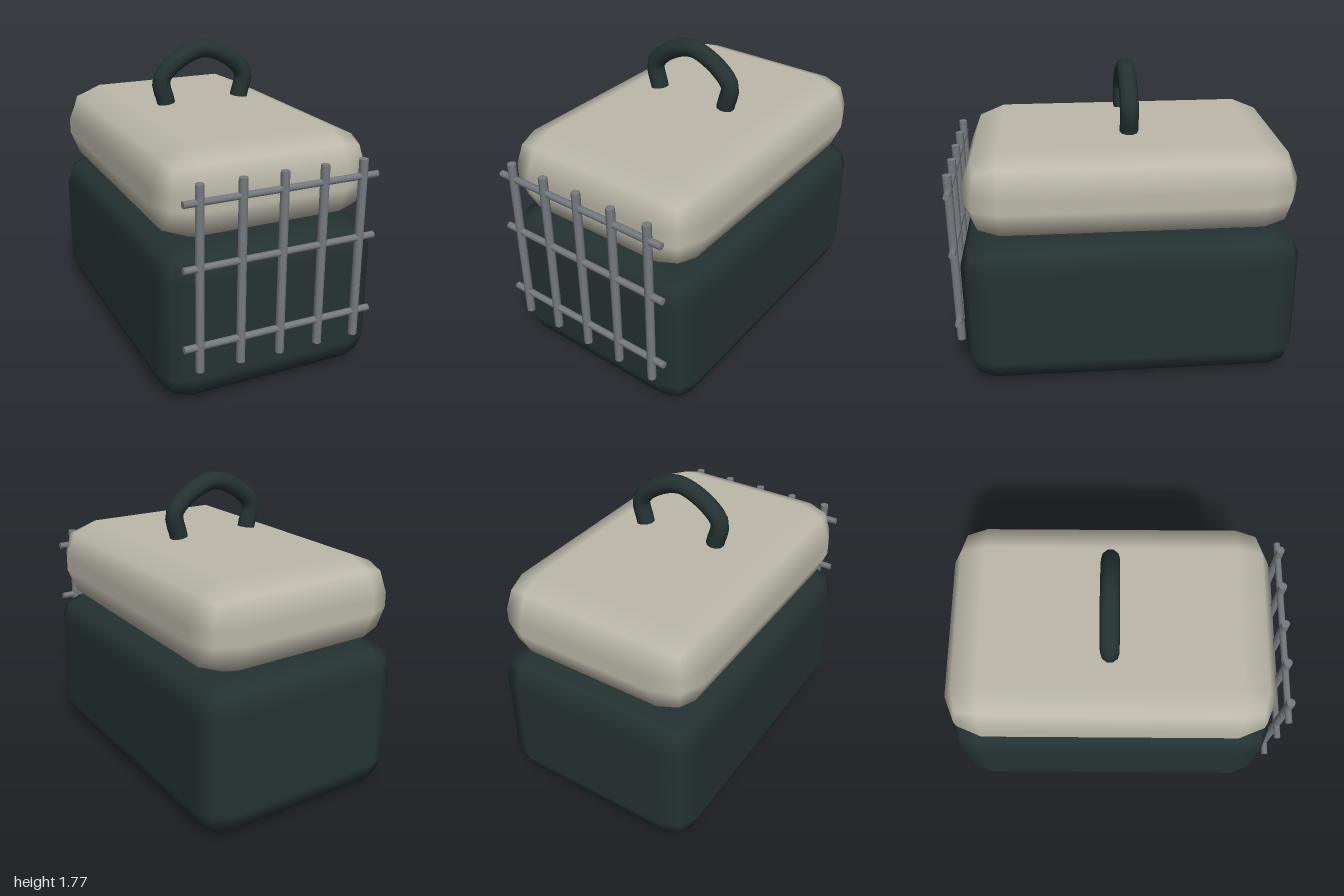
import * as THREE from 'three';
import { RoundedBoxGeometry } from 'three/addons/geometries/RoundedBoxGeometry.js';

function material(name, color) {
  const m = new THREE.MeshStandardMaterial({ color });
  m.name = name;
  return m;
}

export function createModel() {
  const model = new THREE.Group();
  model.name = 'petCarrier';
  const dark = material('darkSlate', 0x253232);
  const cream = material('warmCream', 0xbcb9aa);
  const steel = material('steelGrey', 0x777b80);
  dark.side = THREE.DoubleSide; // the handle tube is open at its ends

  const add = (name, geometry, mat, x, y, z, parent = model) => {
    const mesh = new THREE.Mesh(geometry, mat);
    mesh.name = name;
    mesh.position.set(x, y, z);
    parent.add(mesh);
    return mesh;
  };

  // Body: a deep tub and a softer lid, one bevel step per face
  add('base', new RoundedBoxGeometry(1.29, 0.89, 1.945, 1, 0.165), dark, 0, 0.445, -0.0275);
  add('lid', new RoundedBoxGeometry(1.26, 0.505, 1.885, 1, 0.21), cream, 0, 1.1375, -0.0275);

  // Carrying handle arched above the lid
  const arch = new THREE.CatmullRomCurve3([
    [-0.237, 1.417], [-0.26, 1.57], [0, 1.721], [0.26, 1.57], [0.237, 1.417],
  ].map(([x, y]) => new THREE.Vector3(x, y, 0)));
  add('handle', new THREE.TubeGeometry(arch, 24, 0.053, 10, false), dark, 0, 0, -0.03);

  // Wire door in front of the body
  const door = new THREE.Group();
  door.name = 'door';
  door.position.z = 0.975;
  model.add(door);
  const upright = new THREE.CylinderGeometry(0.025, 0.025, 1.035, 8);
  for (let i = -2; i <= 2; i++) add('doorUpright', upright, steel, i * 0.235, 0.7575, 0, door);
  const rail = new THREE.CylinderGeometry(0.02, 0.02, 1.12, 8);
  for (const y of [0.385, 0.83, 1.18]) {
    add('doorRail', rail, steel, 0, y, 0, door).rotation.z = Math.PI / 2;
  }
  return model;
}
